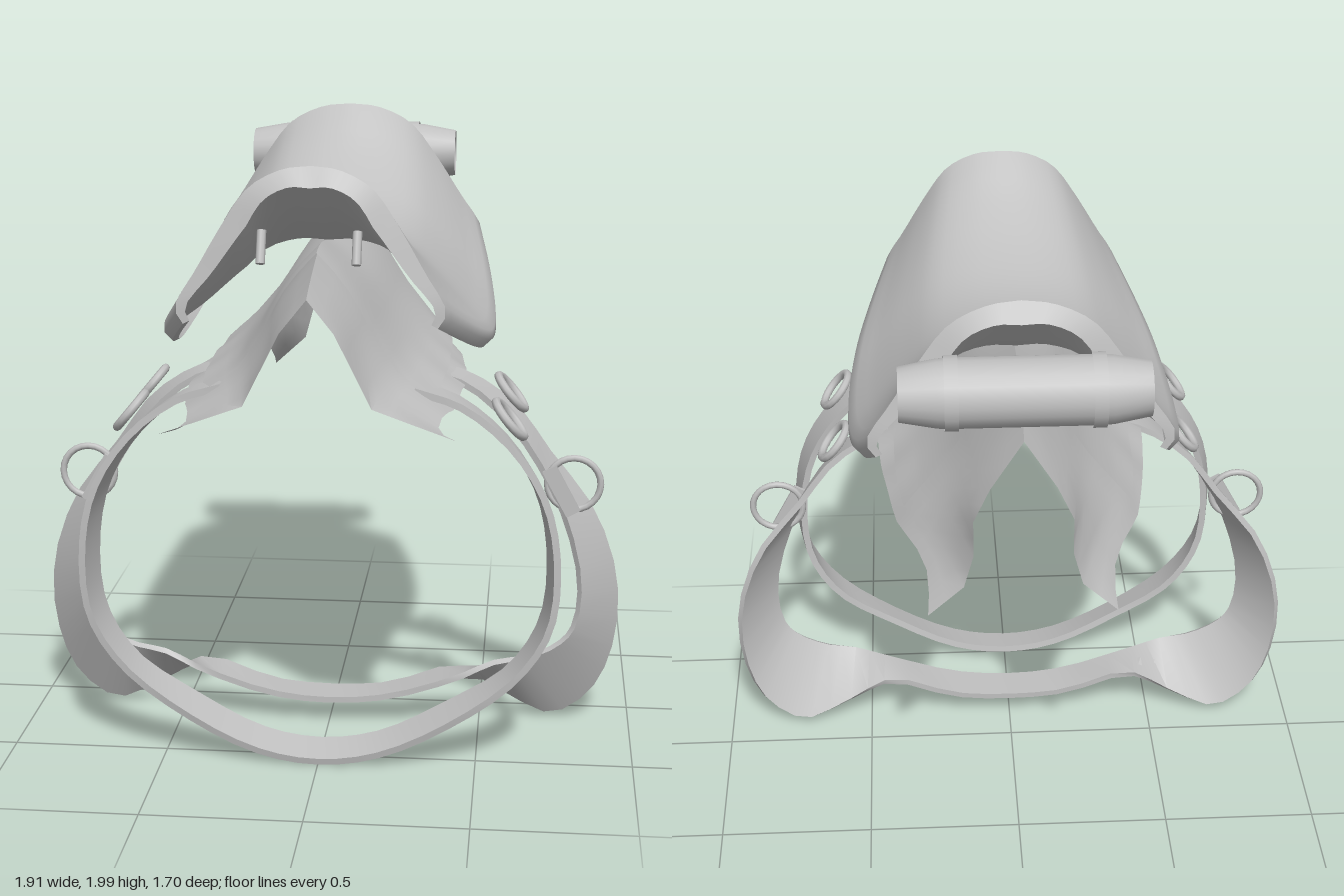
import * as THREE from 'three';
import { toCreasedNormals, mergeGeometries } from 'three/addons/utils/BufferGeometryUtils.js';

const V = (x, y, z) => new THREE.Vector3(x, y, z);
const lerp = THREE.MathUtils.lerp;

// Skin a list of point rows; closeRows joins the last point of each row to its first
function loft(rows, closeRows = false) {
  const n = rows[0].length, pos = [], idx = [];
  rows.forEach(r => r.forEach(p => pos.push(p.x, p.y, p.z)));
  for (let i = 0; i < rows.length - 1; i++) {
    for (let j = 0; j < (closeRows ? n : n - 1); j++) {
      const k = (j + 1) % n, a = i * n + j, b = i * n + k, c = a + n, d = b + n;
      idx.push(a, b, d, a, d, c);
    }
  }
  const g = new THREE.BufferGeometry();
  g.setAttribute('position', new THREE.Float32BufferAttribute(pos, 3));
  g.setIndex(idx);
  return g;
}

// Smooth sampler through rows of numbers, keyed by the first column
function sampleTable(table, z) {
  let i = 0;
  while (i < table.length - 2 && z > table[i + 1][0]) i++;
  const a = table[i], b = table[i + 1], p = table[Math.max(i - 1, 0)], q = table[Math.min(i + 2, table.length - 1)];
  const h = b[0] - a[0], t = (z - a[0]) / h;
  return a.map((v, k) => {
    const m0 = h * (b[k] - p[k]) / (b[0] - p[0]), m1 = h * (q[k] - v) / (q[0] - a[0]);
    return (2 * t ** 3 - 3 * t * t + 1) * v + (t ** 3 - 2 * t * t + t) * m0
      + (-2 * t ** 3 + 3 * t * t) * b[k] + (t ** 3 - t * t) * m1;
  });
}

// Strap ribbon between two edge paths given for the +x half and mirrored
function strap(edgeA, edgeB, thickness) {
  const N = 56;
  const path = pts => {
    const half = pts.map(p => V(...p));
    const other = half.slice(0, -1).reverse().map(p => V(-p.x, p.y, p.z));
    return new THREE.CatmullRomCurve3([...half, ...other]);
  };
  const ca = path(edgeA), cb = path(edgeB), rows = [];
  for (let i = 0; i <= N; i++) {
    const a = ca.getPoint(i / N), b = cb.getPoint(i / N);
    const tangent = ca.getTangent(i / N).add(cb.getTangent(i / N));
    const n = tangent.cross(b.clone().sub(a)).normalize().multiplyScalar(thickness);
    rows.push([a, b, b.clone().add(n), a.clone().add(n)]);
  }
  return toCreasedNormals(loft(rows, true), 0.7);
}

export function createModel() {
  const model = new THREE.Group();
  const grey = new THREE.MeshStandardMaterial({ color: 0xc0c0c0, side: THREE.DoubleSide });
  grey.name = 'light grey';
  const add = (name, geo, x = 0, y = 0, z = 0) => {
    const m = new THREE.Mesh(geo, grey);
    m.name = name;
    m.position.set(x, y, z);
    model.add(m);
    return m;
  };

  // Seat: arched shell, stations are z, half width, ridge height, lip height
  const seat = [
    [-0.58, 0.46, 2.0, 1.515], [-0.4, 0.5, 1.85, 1.41], [-0.2, 0.525, 1.745, 1.335], [0, 0.535, 1.7, 1.305],
    [0.2, 0.53, 1.7, 1.305], [0.4, 0.505, 1.75, 1.345], [0.6, 0.455, 1.835, 1.41], [0.77, 0.4, 1.94, 1.475]];
  const arch = [[0, 0, 0], [0.18, 0.22, 0.025], [0.36, 0.46, 0.14], [0.54, 0.65, 0.37], [0.72, 0.84, 0.65],
    [0.9, 1, 0.89], [1, 0.94, 1]];
  const archRow = (z, inner) => {
    const [, w, top, lip] = sampleTable(seat, z), row = [];
    for (let i = -16; i <= 16; i++) {
      const u = Math.abs(i) / 16, s = Math.sign(i), [, px, py] = sampleTable(arch, u);
      // the outer skin rolls back at both ends, the inner one stays square
      const roll = inner ? 0 : (1 - u) * 0.04 * Math.sign(z - 0.1)
        * THREE.MathUtils.clamp((Math.abs(z - 0.1) - 0.3) / 0.35, 0, 1);
      const x = px * w - (inner ? 0.065 * Math.min(1, u * 2) * (1 - 0.7 * u ** 3) : 0);
      const y = top - py * (top - lip) - (inner ? lerp(0.06, -0.01, u) : 0);
      row.push(V(s * x, y, z - roll));
    }
    return row;
  };
  const shell = [];
  for (let i = 0; i <= 28; i++) {
    const z = lerp(-0.58, 0.77, i / 28);
    shell.push([...archRow(z, false), ...archRow(z, true).reverse()]);
  }
  const rims = [-0.58, 0.77].map(z => loft([archRow(z, false), archRow(z, true)]));
  add('seat', toCreasedNormals(mergeGeometries([loft(shell, true), ...rims]), 0.9));

  // Blanket: cross-sections as z then x, y pairs from ridge to hem
  const cloth = [
    [-0.71, 0, 1.63, 0.1, 1.47, 0.15, 1.36, 0.15, 1.24, 0.18, 1.13, 0.29, 1.03],
    [-0.58, 0, 1.69, 0.1, 1.53, 0.17, 1.4, 0.21, 1.29, 0.24, 1.19, 0.29, 1.11],
    [-0.38, 0, 1.69, 0.12, 1.53, 0.2, 1.4, 0.28, 1.3, 0.34, 1.23, 0.38, 1.17],
    [0.1, 0, 1.63, 0.12, 1.51, 0.2, 1.39, 0.28, 1.3, 0.36, 1.24, 0.44, 1.19],
    [0.5, 0, 1.66, 0.11, 1.52, 0.18, 1.39, 0.25, 1.29, 0.34, 1.23, 0.42, 1.18],
    [0.74, 0, 1.61, 0.09, 1.49, 0.15, 1.36, 0.21, 1.27, 0.29, 1.22, 0.38, 1.17],
    [0.86, 0, 1.57, 0.08, 1.47, 0.14, 1.35, 0.19, 1.25, 0.3, 1.21, 0.44, 1.16]];
  const clothSheet = (z0, z1, reach, lift) => {
    const rows = [];
    for (let i = 0; i <= 24; i++) {
      const z = lerp(z0, z1, i / 24), s = sampleTable(cloth, z), row = [];
      for (let j = -10; j <= 10; j++) {
        const u = Math.abs(j) / 10 * reach * 5, k = Math.min(4, Math.floor(u)), t = u - k;
        const x = lerp(s[1 + 2 * k], s[3 + 2 * k], t), y = lerp(s[2 + 2 * k], s[4 + 2 * k], t);
        const wave = 0.008 * Math.sin(z * 22) * Math.max(0, u - 3) / 2;
        row.push(V(Math.sign(j) * (x + lift), y + lift + wave, z));
      }
      rows.push(row);
    }
    return toCreasedNormals(loft(rows), 0.7);
  };
  add('blanket', clothSheet(-0.71, 0.86, 1, 0));
  add('saddlePad', clothSheet(-0.39, 0.58, 0.84, 0.01));

  // Front girth: loop under the belly
  const girth = [[0.3, 1.25], [0.45, 1.2], [0.61, 1.07], [0.715, 0.9], [0.755, 0.7], [0.735, 0.48],
    [0.63, 0.31], [0.43, 0.155], [0.2, 0.04], [0, 0.008]];
  add('frontGirth', strap(
    girth.map(([x, y]) => [x * 0.97, y + (y < 0.3 ? 0.025 : 0), 0.46]),
    girth.map(([x, y]) => [x, y, 0.58]), 0.022));

  // Rear girth: flares outward at the sides, edges given as back and front
  const rearBack = [[0.3, 1.24], [0.45, 1.2], [0.6, 1.1], [0.72, 0.94], [0.87, 0.74], [0.95, 0.5], [0.94, 0.27],
    [0.87, 0.11], [0.74, 0.025], [0.57, 0.1], [0.43, 0.165], [0.2, 0.095], [0, 0.08]];
  const rearFront = [[0.3, 1.24], [0.45, 1.19], [0.58, 1.08], [0.69, 0.93], [0.78, 0.74], [0.83, 0.52], [0.81, 0.37],
    [0.76, 0.31], [0.66, 0.26], [0.55, 0.235], [0.43, 0.175], [0.2, 0.1], [0, 0.08]];
  add('rearGirth', strap(
    rearBack.map(([x, y]) => [x, y, 0.11]),
    rearFront.map(([x, y]) => [x, y, 0.235]), 0.02));

  // Strap rings, buckles and front pegs on both sides
  for (const s of [1, -1]) {
    for (const z of [0.52, 0.16]) {
      const ring = add('strapRing', new THREE.TorusGeometry(0.068, 0.014, 8, 20), s * 0.588, 1.147, z);
      ring.quaternion.setFromUnitVectors(V(0, 0, 1), V(s * 0.77, 0.64, 0).normalize());
    }
    add('sideBuckle', new THREE.TorusGeometry(0.086, 0.011, 8, 24), s * 0.795, 0.86, 0.218);
    const tab = add('buckleTab', new THREE.BoxGeometry(0.05, 0.17, 0.012), s * 0.755, 0.84, 0.24);
    tab.rotation.z = s * 0.5;
    const peg = add('frontPeg', new THREE.CylinderGeometry(0.014, 0.014, 0.1, 8), s * 0.14, 1.71, 0.785);
    peg.rotation.x = -0.4;
  }

  // Bedroll: hollow tube with tapered ends and two bands
  const rollProfile = [[0.08, -0.36], [0.1, -0.25], [0.102, -0.2], [0.102, 0.2], [0.1, 0.25], [0.08, 0.36]];
  const roll = add('bedroll', toCreasedNormals(
    new THREE.LatheGeometry(rollProfile.map(p => new THREE.Vector2(...p)), 20), 0.6), 0, 1.81, -0.735);
  roll.rotation.z = Math.PI / 2;
  for (const x of [-0.21, 0.21]) {
    const band = add('bedrollBand', new THREE.CylinderGeometry(0.109, 0.109, 0.04, 20, 1, true), x, 1.81, -0.735);
    band.rotation.z = Math.PI / 2;
  }

  return model;
}
